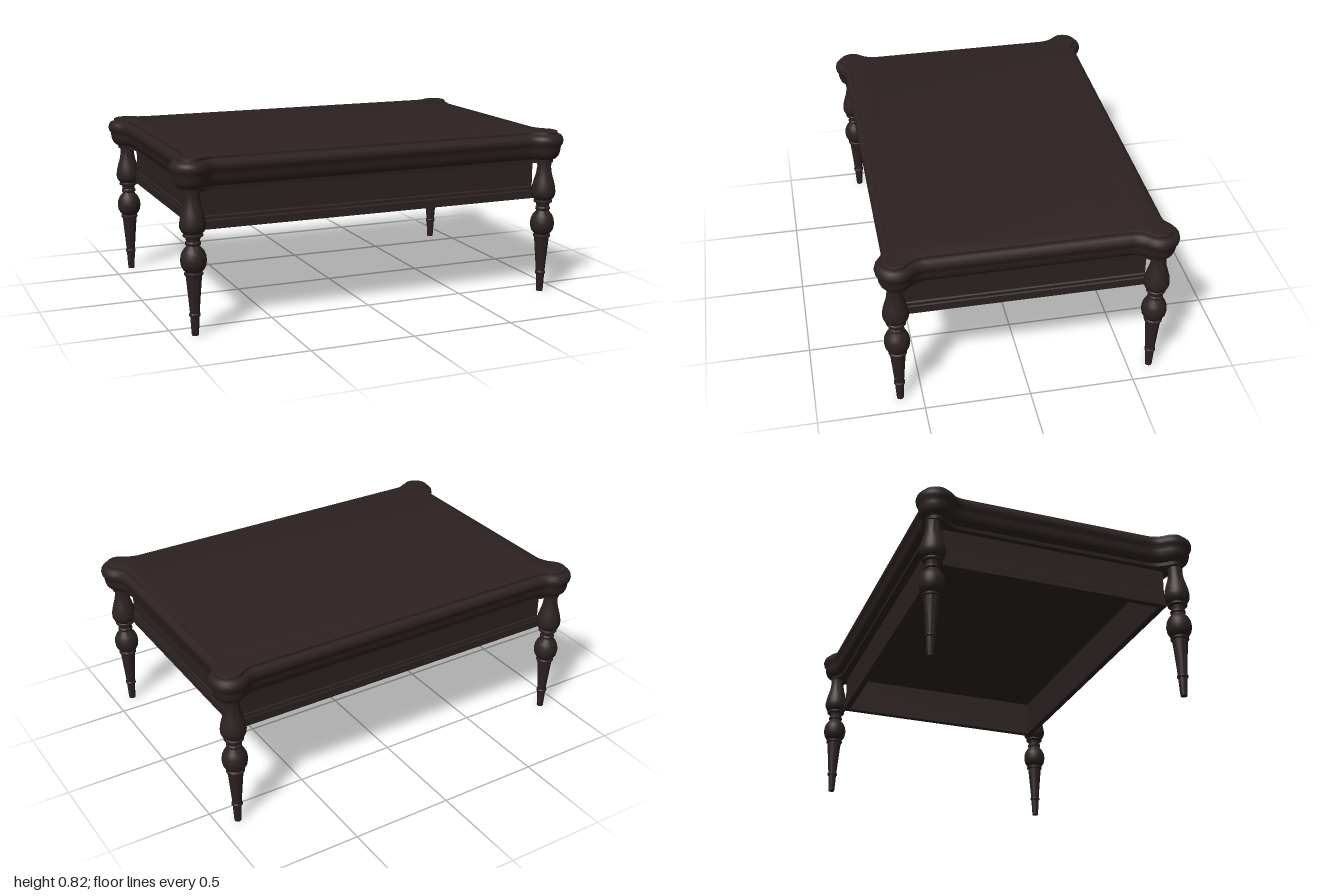
import * as THREE from 'three';
import { toCreasedNormals } from 'three/addons/utils/BufferGeometryUtils.js';

const CREASE = 0.6;

// Skins stacked rings of [x, z] points, given with their heights from top to bottom.
function loft(rings, heights, capped) {
  const n = rings[0].length, pos = [], idx = [];
  rings.forEach((ring, k) => ring.forEach(([x, z]) => pos.push(x, heights[k], z)));
  for (let k = 0; k < rings.length - 1; k++) {
    for (let i = 0; i < n; i++) {
      const j = (i + 1) % n, a = k * n + i, a1 = k * n + j;
      idx.push(a, a1, a + n, a1, a1 + n, a + n);
    }
  }
  if (capped) {
    const cap = (ring) => THREE.ShapeUtils.triangulateShape(ring.map(([x, z]) => new THREE.Vector2(x, z)), []);
    const last = (rings.length - 1) * n;
    cap(rings[0]).forEach(([a, b, c]) => idx.push(a, c, b));
    cap(rings[rings.length - 1]).forEach(([a, b, c]) => idx.push(last + a, last + b, last + c));
  }
  const g = new THREE.BufferGeometry();
  g.setAttribute('position', new THREE.Float32BufferAttribute(pos, 3));
  g.setIndex(idx);
  return toCreasedNormals(g, CREASE);
}

// Rectangle with a round lobe on each corner, joined by concave fillets, moved inward by d.
function lobedOutline(d) {
  const X = 0.94, Z = 0.645, xc = 0.907, zc = 0.595, r = 0.093, rf = 0.09;
  const reach = (edge) => Math.sqrt((r + rf) ** 2 - (edge + rf) ** 2);
  const c1 = [X + rf, zc - reach(X - xc)];
  const c2 = [xc - reach(Z - zc), Z + rf];
  const a1 = Math.atan2(zc - c1[1], xc - c1[0]);
  const a2 = Math.atan2(c2[1] - zc, c2[0] - xc);
  const quarter = [];
  const arc = ([cx, cz], rad, from, to, steps, first = 1) => {
    for (let i = first; i <= steps; i++) {
      const a = from + (to - from) * i / steps;
      quarter.push([cx + rad * Math.cos(a), cz + rad * Math.sin(a)]);
    }
  };
  arc(c1, rf + d, Math.PI, a1, 6, 0);
  arc([xc, zc], r - d, a1 - Math.PI, a2, 18);
  arc(c2, rf + d, a2 - Math.PI, -Math.PI / 2, 6);
  const mirror = (sx, sz) => quarter.map(([x, z]) => [x * sx, z * sz]);
  return [...quarter, ...mirror(-1, 1).reverse(), ...mirror(-1, -1), ...mirror(1, -1).reverse()];
}

function rectangle(e) {
  const x = 0.865 + e, z = 0.56 + e;
  return [[x, -z], [x, z], [-x, z], [-x, -z]];
}

export function createModel() {
  const group = new THREE.Group();
  const wood = new THREE.MeshStandardMaterial({ color: 0x2c2221 });
  wood.name = 'dark wood';
  const add = (name, geometry) => {
    const mesh = new THREE.Mesh(geometry, wood);
    mesh.name = name;
    group.add(mesh);
    return mesh;
  };

  // Table top: moulded edge as [inset, height]
  const edge = [
    [0.038, 0.82], [0.031, 0.817], [0.029, 0.805], [0.013, 0.8], [0.004, 0.789],
    [0, 0.773], [0.003, 0.757], [0.012, 0.745], [0.013, 0.73], [0.016, 0.712],
    [0.023, 0.695], [0.036, 0.682], [0.046, 0.679], [0.048, 0.662],
  ];
  add('tableTop', loft(edge.map(([d]) => lobedOutline(d)), edge.map(([, y]) => y), true));

  // Apron: hollow frame with a stepped moulding along its lower edge
  const frame = [
    [0, 0.67], [0, 0.538], [0.005, 0.533], [0.005, 0.518], [0.009, 0.513],
    [0.009, 0.475], [-0.022, 0.475], [-0.022, 0.67],
  ];
  add('apron', loft(frame.map(([e]) => rectangle(e)), frame.map(([, y]) => y), false));

  // Turned legs: profile as [radius, height]
  const profile = [
    [0, 0], [0.016, 0], [0.018, 0.03], [0.021, 0.088], [0.026, 0.093], [0.026, 0.101], [0.022, 0.106],
    [0.028, 0.18], [0.035, 0.26], [0.037, 0.28], [0.043, 0.285], [0.043, 0.293], [0.036, 0.298],
    [0.047, 0.308], [0.056, 0.325], [0.06, 0.35], [0.057, 0.375], [0.048, 0.396], [0.034, 0.412],
    [0.03, 0.42], [0.036, 0.425], [0.036, 0.433], [0.031, 0.44], [0.034, 0.456],
    [0.046, 0.462], [0.046, 0.47], [0.041, 0.474], [0.052, 0.484], [0.059, 0.5], [0.06, 0.518],
    [0.056, 0.545], [0.048, 0.575], [0.039, 0.605], [0.034, 0.64], [0.036, 0.68],
  ].map(([r, y]) => new THREE.Vector2(r, y));
  const legGeometry = toCreasedNormals(new THREE.LatheGeometry(profile, 28), CREASE);
  for (const [sx, side] of [[1, 'Left'], [-1, 'Right']]) {
    for (const [sz, end] of [[1, 'front'], [-1, 'back']]) {
      add(`${end}${side}Leg`, legGeometry).position.set(sx * 0.905, 0, sz * 0.605);
    }
  }
  return group;
}
